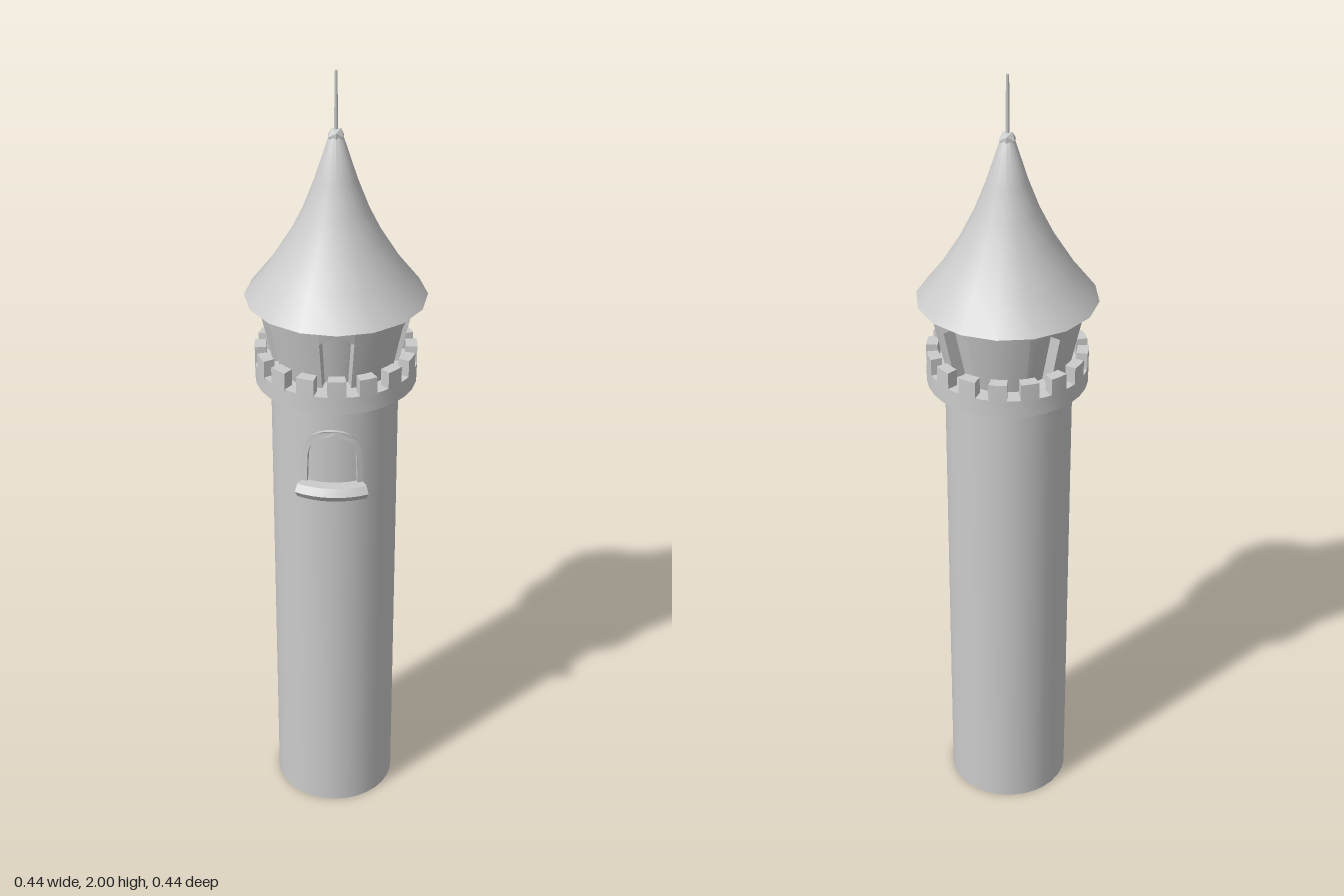
import * as THREE from 'three';
import { toCreasedNormals } from 'three/addons/utils/BufferGeometryUtils.js';

const material = new THREE.MeshStandardMaterial({ color: 0xcccccc, side: THREE.DoubleSide });
const rad = THREE.MathUtils.degToRad;

function add(parent, name, geometry, x = 0, y = 0, z = 0) {
  const mesh = new THREE.Mesh(geometry, material);
  mesh.name = name;
  mesh.position.set(x, y, z);
  parent.add(mesh);
  return mesh;
}

// A box wrapped round the tower axis; angles in degrees from the front (+z).
// bottom, inner and outer may vary: bottom(angle), inner(y), outer(y).
function bentBox(from, to, bottom, top, inner, outer, segments = 1, rows = 1) {
  const call = (v, t) => (typeof v === 'function' ? v(t) : v);
  const geometry = new THREE.BoxGeometry(1, 1, 1, segments, rows, 1);
  const p = geometry.attributes.position;
  for (let i = 0; i < p.count; i++) {
    const angle = from + (to - from) * (p.getX(i) + 0.5);
    const low = call(bottom, angle);
    const y = low + (top - low) * (p.getY(i) + 0.5);
    const r = p.getZ(i) > 0 ? call(outer, y) : call(inner, y);
    p.setXYZ(i, r * Math.sin(rad(angle)), y, r * Math.cos(rad(angle)));
  }
  return toCreasedNormals(geometry, 0.6);
}

function archShape(halfWidth, low, spring, top) {
  const s = new THREE.Shape();
  s.moveTo(-halfWidth, low);
  s.lineTo(halfWidth, low);
  s.lineTo(halfWidth * 0.95, spring);
  s.quadraticCurveTo(halfWidth * 0.8, top, 0, top);
  s.quadraticCurveTo(-halfWidth * 0.8, top, -halfWidth * 0.95, spring);
  s.closePath();
  return s;
}

export function createModel() {
  const tower = new THREE.Group();
  tower.name = 'tower';

  // Round shaft, open at the bottom
  add(tower, 'shaft', new THREE.CylinderGeometry(0.155, 0.155, 1.25, 32, 1, true), -0.003, 0.625, 0.001);

  // Parapet with merlons
  const parapet = new THREE.Group();
  parapet.name = 'parapet';
  tower.add(parapet);
  const ring = [[0.15, 1.235], [0.196, 1.235], [0.196, 1.28], [0.12, 1.28]];
  add(parapet, 'parapetRing', toCreasedNormals(
    new THREE.LatheGeometry(ring.map(([r, y]) => new THREE.Vector2(r, y)), 32), 0.6));
  for (let i = 0; i < 16; i++) {
    const a = i * 22.5;
    add(parapet, 'merlon', bentBox(a - 6.5, a + 6.5, 1.275, 1.322, 0.168, 0.196, 2));
  }

  // Flared lookout room with five pointed openings
  const lookout = new THREE.Group();
  lookout.name = 'lookout';
  tower.add(lookout);
  const outer = (y) => 0.152 + (y - 1.28) * 0.22;
  const inner = (y) => outer(y) - 0.03;
  const half = 13;
  for (let i = 0; i < 5; i++) {
    const a = i * 72;
    const arch = (angle) => 1.437 - 0.028 * Math.abs(angle - a) / half;
    add(lookout, 'lintel', bentBox(a - half, a + half, arch, 1.46, inner, outer, 2));
    add(lookout, 'wall', bentBox(a + half, a + 72 - half, 1.275, 1.46, inner, outer, 5));
  }
  add(lookout, 'innerWall', new THREE.CylinderGeometry(inner(1.46), inner(1.275), 0.185, 32, 1, true), 0, 1.3675, 0);

  // Sixteen-sided roof with a concave sweep
  const profile = [[0.14, 1.46], [0.218, 1.453], [0.162, 1.525], [0.112, 1.605],
    [0.077, 1.675], [0.05, 1.745], [0.016, 1.85], [0, 1.86]];
  add(tower, 'roof', toCreasedNormals(
    new THREE.LatheGeometry(profile.map(([r, y]) => new THREE.Vector2(r, y)), 16), 0.7));

  // Finial knob and spire rod
  add(tower, 'finialKnob', toCreasedNormals(new THREE.IcosahedronGeometry(0.021, 0), 0.1), 0, 1.848, 0);
  add(tower, 'spireRod', new THREE.CylinderGeometry(0.004, 0.005, 0.15, 6), 0, 1.925, 0);

  // Arched front window: frame, pane and curved sill
  const frontWindow = new THREE.Group();
  frontWindow.name = 'frontWindow';
  frontWindow.rotation.y = rad(-4);
  tower.add(frontWindow);
  const frame = archShape(0.074, 1.01, 1.1, 1.17);
  frame.holes.push(archShape(0.06, 1.02, 1.1, 1.155));
  const wrap = (shape, depth, z) => {
    const g = new THREE.ExtrudeGeometry(shape, { depth, bevelEnabled: false, curveSegments: 8 });
    const p = g.attributes.position;
    for (let i = 0; i < p.count; i++) {
      const r = z + p.getZ(i), a = p.getX(i) / 0.155;
      p.setXYZ(i, r * Math.sin(a), p.getY(i), r * Math.cos(a));
    }
    return toCreasedNormals(g, 0.5);
  };
  add(frontWindow, 'windowFrame', wrap(frame, 0.02, 0.144));
  const bulge = (y) => 0.197 - 0.012 * Math.abs(y - 1.004) / 0.018;
  add(frontWindow, 'windowSill', bentBox(-27, 27, 0.986, 1.022, 0.145, bulge, 8, 2));

  return tower;
}
